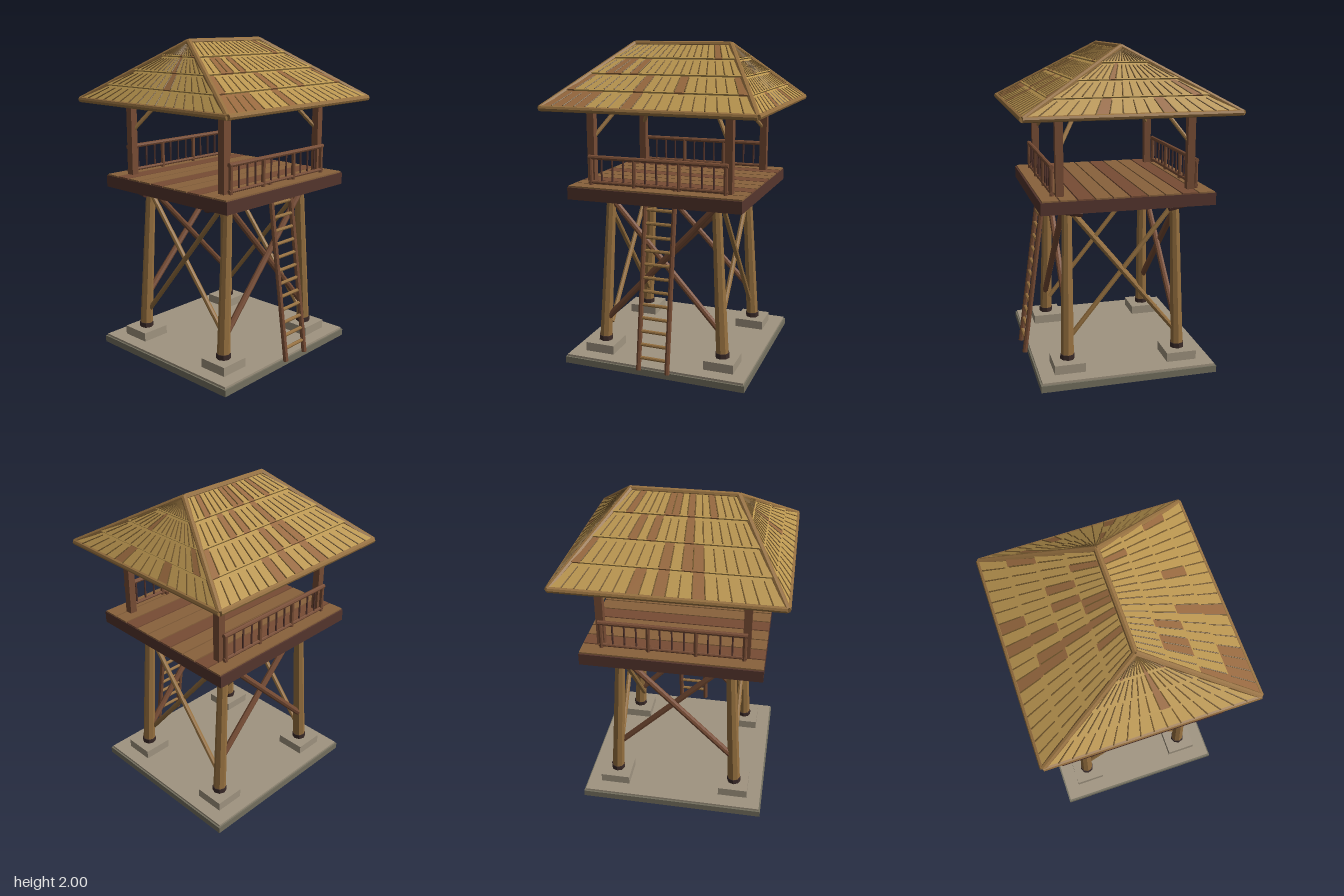
import * as THREE from 'three';
import { mergeGeometries } from 'three/addons/utils/BufferGeometryUtils.js';

const V = (x, y, z) => new THREE.Vector3(x, y, z);
const mat = (name, color) => {
  const m = new THREE.MeshStandardMaterial({ color });
  m.name = name;
  return m;
};

// Straight log between two points, with flat sides
function log(a, b, r0, r1 = r0, sides = 8) {
  const dir = b.clone().sub(a);
  const g = new THREE.CylinderGeometry(r1, r0, dir.length(), sides).toNonIndexed();
  g.computeVertexNormals();
  g.applyQuaternion(new THREE.Quaternion().setFromUnitVectors(V(0, 1, 0), dir.normalize()));
  return g.translate((a.x + b.x) / 2, (a.y + b.y) / 2, (a.z + b.z) / 2);
}
const box = (w, h, d, x, y, z) => new THREE.BoxGeometry(w, h, d).toNonIndexed().translate(x, y, z);

// Loose four-cornered faces, corners counter-clockwise from outside
function quads(list) {
  const pos = [];
  for (const [a, b, c, d] of list) for (const p of [a, b, c, a, c, d]) pos.push(p.x, p.y, p.z);
  const g = new THREE.BufferGeometry();
  g.setAttribute('position', new THREE.Float32BufferAttribute(pos, 3));
  g.computeVertexNormals();
  return g;
}

export function createModel() {
  const root = new THREE.Group();
  root.name = 'watchtower';
  const straw = mat('straw', 0xb9954f), patch = mat('brown straw', 0x98693f);
  const seam = mat('dark straw', 0x75592e), gold = mat('golden wood', 0x96703f);
  const brown = mat('brown wood', 0x774c34), dark = mat('dark wood', 0x55352d);
  const plank = mat('plank wood', 0x89623c), iron = mat('collar', 0x3a2a28);
  const stone = mat('stone', 0xa09480), slab = mat('slab', 0x74705f);
  const add = (name, material, geos, parent = root) => {
    const m = new THREE.Mesh(mergeGeometries([].concat(geos)), material);
    m.name = name;
    parent.add(m);
  };
  const corners = [[1, 1], [1, -1], [-1, -1], [-1, 1]];
  const each = (fn) => corners.map(([sx, sz]) => fn(sx, sz));

  // Ground slab and footings
  add('slab', slab, box(1.175, 0.042, 1.1, 0, 0.021, 0));
  add('slabTop', stone, box(1.155, 0.014, 1.08, 0, 0.048, 0));
  add('footings', stone, each((x, z) => box(0.19, 0.058, 0.19, x * 0.395, 0.083, z * 0.355)));
  add('legCollars', iron, each((x, z) => log(V(x * 0.395, 0.112, z * 0.355), V(x * 0.394, 0.143, z * 0.354), 0.045)));

  // Splayed legs
  add('legs', gold, each((x, z) => log(V(x * 0.395, 0.11, z * 0.355), V(x * 0.341, 1.075, z * 0.336), 0.041, 0.03)));

  // Crossed braces
  const front = [], side = [];
  for (const s of [1, -1]) for (const d of [1, -1]) {
    const low = s > 0 ? 0.27 : 0.33;
    const z = 0.348 + d * 0.012;
    front.push(log(V(-d * 0.37, low, s * z), V(d * 0.34, 1.05, s * z), 0.02));
    const x = 0.37 + d * 0.01;
    side.push(log(V(s * x, 0.23, -d * 0.335), V(s * x, 1.05, d * 0.33), 0.016));
  }
  add('frontAndBackBraces', brown, front);
  add('sideBraces', gold, side);

  // Deck with planks and slanted support logs
  add('deckFrame', dark, box(1.094, 0.074, 1.05, 0, 1.104, 0));
  const light = [], deep = [], n = 10, pitch = 1.04 / n;
  for (let i = 0; i < n; i++) {
    (i % 3 === 1 ? deep : light).push(box(1.09, 0.012, pitch - 0.009, 0, 1.144, -0.52 + pitch * (i + 0.5)));
  }
  add('lightPlanks', plank, light);
  add('darkPlanks', brown, deep);
  add('deckSupports', dark, each((x, z) => log(V(x * 0.445, 1.09, z * 0.5), V(x * 0.445, 1.043, z * 0.265), 0.026)));

  // Roof posts and corner braces
  add('roofPosts', brown, each((x, z) => box(0.046, 0.57, 0.046, x * 0.435, 1.42, z * 0.397)));
  add('postBraces', gold, each((x, z) => log(V(x * 0.425, 1.44, z * 0.385), V(x * 0.29, 1.645, z * 0.25), 0.013)));

  // Railings front and back
  for (const s of [1, -1]) {
    const z = s * 0.44, rails = [], balusters = [];
    for (const [y, r] of [[1.32, 0.014], [1.168, 0.011]]) rails.push(log(V(-0.44, y, z), V(0.44, y, z), r));
    for (let i = 0; i <= 12; i++) {
      const x = -0.426 + i * 0.071;
      if (i % 4) balusters.push(log(V(x, 1.168, z), V(x, 1.32, z), 0.006, 0.006, 6));
      else rails.push(log(V(x, 1.14, z), V(x, 1.325, z), 0.013));
    }
    const g = new THREE.Group();
    g.name = s > 0 ? 'frontRailing' : 'backRailing';
    add('rails', brown, rails, g);
    add('balusters', dark, balusters, g);
    root.add(g);
  }

  // Leaning ladder
  const ladderZ = (y) => 0.58 - (y - 0.05) * 0.137;
  add('ladderRails', brown, [-0.07, 0.115].map((x) => log(V(x, 0.05, ladderZ(0.05)), V(x, 1.17, ladderZ(1.17)), 0.016)));
  const rungs = [];
  for (let i = 0; i < 12; i++) {
    const y = 0.13 + i * 0.0815;
    rungs.push(log(V(-0.075, y, ladderZ(y)), V(0.12, y, ladderZ(y)), 0.011));
  }
  add('ladderRungs', gold, rungs);

  // Hipped roof: rows of overlapping straw bundles on four slopes
  const X = 0.65, Z = 0.625, E = 1.625, R = 0.315, T = 1.982;
  const eave = corners.map(([x, z]) => V(x * X, E, z * Z));
  const top = corners.map(([x]) => V(x * R, T, 0));
  let seed = 7;
  const random = () => (seed = (seed * 16807) % 2147483647) / 2147483647;
  for (let i = 0; i < 12; i++) random();
  const plain = [], patches = [], seams = [], under = [];
  for (let f = 0; f < 4; f++) {
    const k = (f + 1) % 4;
    // Slope f runs from corner k (its left, seen from outside) to corner f or back
    const [eL, eR, tL, tR] = [eave[f], eave[k], top[f], top[k]];
    const normal = eR.clone().sub(eL).cross(tL.clone().sub(eL)).normalize();
    const at = (u, v, lift) => eL.clone().lerp(eR, u).lerp(tL.clone().lerp(tR, u), v).addScaledVector(normal, lift);
    const columns = f % 2 ? 18 : 16;
    for (let r = 0; r < 4; r++) {
      const v0 = r / 4, v1 = (r + 1) / 4;
      for (let c = 0; c < columns; c++) {
        const u0 = c / columns, u1 = (c + 1) / columns;
        const list = random() < 0.14 ? patches : plain;
        list.push([at(u0, v0, 0.014), at(u1, v0, 0.014), at(u1, v1, 0.003), at(u0, v1, 0.003)]);
        list.push([at(u0, v0, 0), at(u1, v0, 0), at(u1, v0, 0.014), at(u0, v0, 0.014)]);
        // Thin twig along each joint
        if (c) seams.push(log(at(u0, v0 + 0.015, 0.014), at(u0, v1 - 0.03, 0.005), 0.0045, 0.0035, 5));
      }
    }
    under.push([at(1, 0, -0.004), at(0, 0, -0.004), at(0, 1, -0.004), at(1, 1, -0.004)]);
  }
  const roof = new THREE.Group();
  roof.name = 'roof';
  root.add(roof);
  add('thatch', straw, quads(plain), roof);
  add('thatchPatches', patch, quads(patches), roof);
  add('thatchSeams', seam, seams, roof);
  add('roofUnderside', straw, quads(under), roof);

  // Eave, hip and ridge poles
  const poles = [];
  for (let f = 0; f < 4; f++) {
    poles.push(log(eave[f], eave[(f + 1) % 4], 0.018));
    poles.push(log(eave[f], top[f], 0.018));
  }
  poles.push(log(V(-R, T, 0), V(R, T, 0), 0.018));
  add('roofPoles', gold, poles, roof);
  return root;
}
